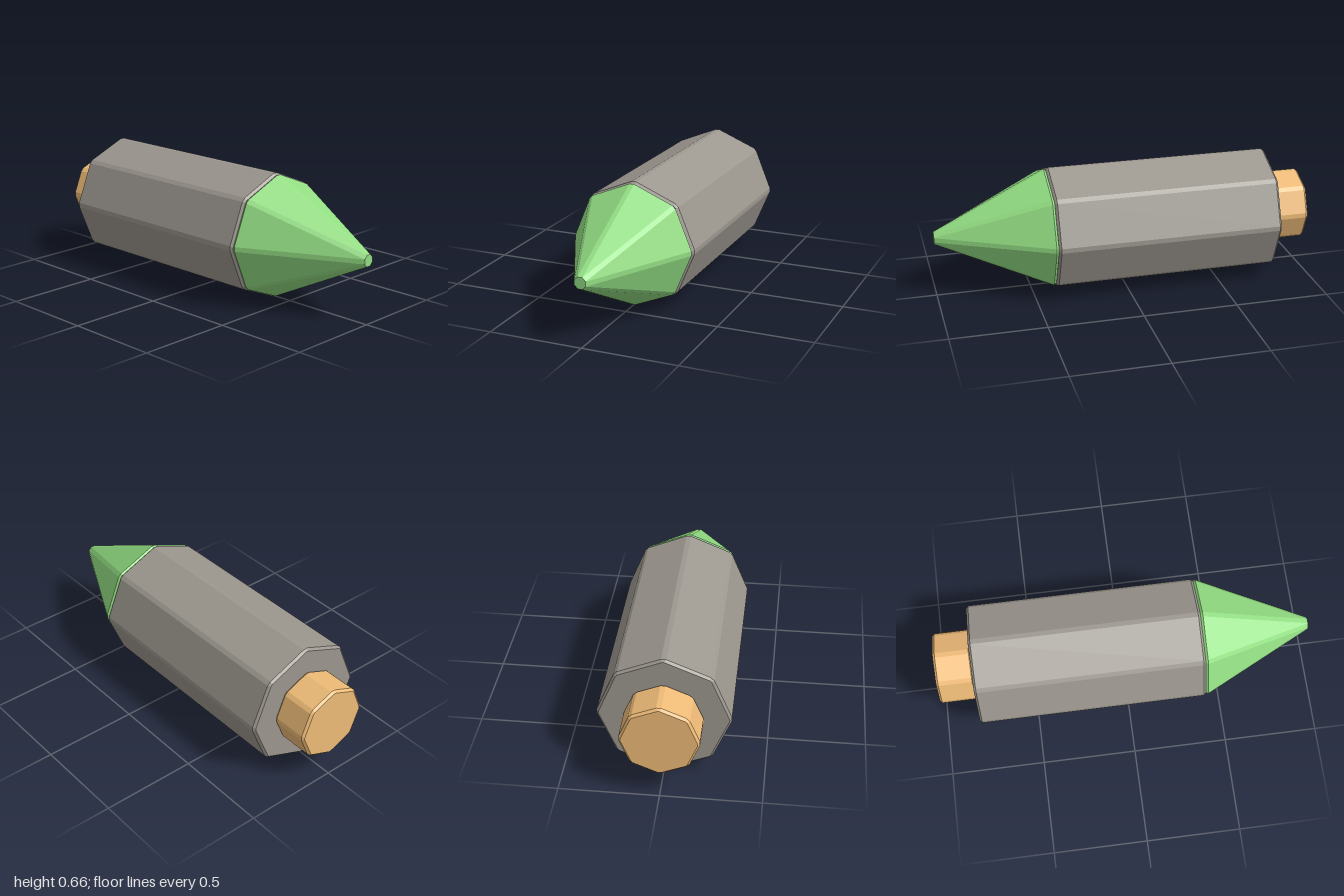
import * as THREE from 'three';

// Octagon with cut corners: r = distance to the cut corners, c = half width of each cut
function ring(x, r, c) {
  const points = [];
  for (let i = 0; i < 8; i++) {
    const a = i * Math.PI / 4;
    for (const s of [-c, c]) {
      points.push(new THREE.Vector3(
        x,
        r * Math.cos(a) - s * Math.sin(a),
        r * Math.sin(a) + s * Math.cos(a)
      ));
    }
  }
  return points;
}

// Closed solid lofted along x through rings given as [x, r, c]
function loft(name, color, sections) {
  const rings = sections.map((s) => ring(...s));
  const positions = [];
  const tri = (a, b, c) => {
    const area = b.clone().sub(a).cross(c.clone().sub(a)).length();
    if (area < 1e-9) return; // skip corners that have merged
    for (const p of [a, b, c]) positions.push(p.x, p.y, p.z);
  };
  const n = 16;
  for (let k = 0; k < rings.length - 1; k++) {
    for (let j = 0; j < n; j++) {
      const a = rings[k][j], b = rings[k][(j + 1) % n];
      const c = rings[k + 1][(j + 1) % n], d = rings[k + 1][j];
      tri(a, b, c);
      tri(a, c, d);
    }
  }
  // Flat ends
  const first = rings[0], last = rings[rings.length - 1];
  for (let j = 1; j < n - 1; j++) {
    tri(first[0], first[j + 1], first[j]);
    tri(last[0], last[j], last[j + 1]);
  }
  const geometry = new THREE.BufferGeometry();
  geometry.setAttribute('position', new THREE.Float32BufferAttribute(positions, 3));
  geometry.computeVertexNormals();
  const mesh = new THREE.Mesh(geometry, new THREE.MeshStandardMaterial({ color, flatShading: true }));
  mesh.name = name;
  mesh.position.y = 0.33;
  return mesh;
}

export function createModel() {
  const group = new THREE.Group();
  group.name = 'bullet';
  const cut = 0.0125;

  // Long barrel with small bevels at both ends
  group.add(loft('casing', 0x9c978f, [
    [-0.8, 0.32, 0.006], [-0.788, 0.33, cut], [0.388, 0.33, cut], [0.4, 0.32, 0.006],
  ]));

  // Tapered nose with a blunt octagonal end
  group.add(loft('nose', 0x92dd82, [
    [0.4, 0.317, 0.006], [0.412, 0.324, cut], [1, 0.03, 0.03 * Math.tan(Math.PI / 8)],
  ]));

  // Short narrow stub at the rear
  group.add(loft('rearStub', 0xeebb77, [
    [-1, 0.184, 0.006], [-0.988, 0.194, cut], [-0.812, 0.194, cut], [-0.8, 0.184, 0.006],
  ]));

  return group;
}
